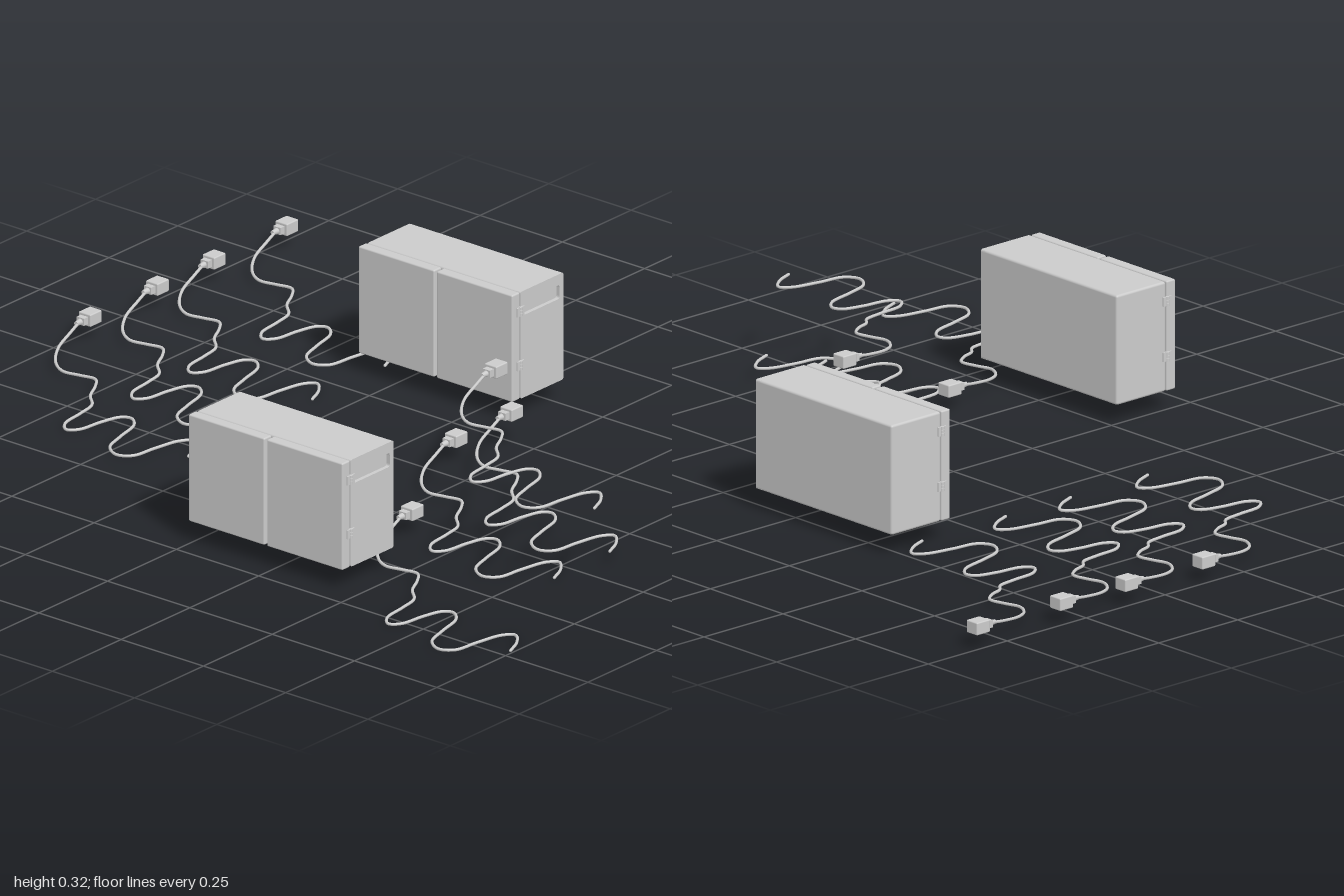
import * as THREE from 'three';
import { RoundedBoxGeometry } from 'three/addons/geometries/RoundedBoxGeometry.js';

const grey = new THREE.MeshStandardMaterial({ color: 0xcccccc });

function add(parent, name, geometry, x = 0, y = 0, z = 0) {
  const mesh = new THREE.Mesh(geometry, grey);
  mesh.name = name;
  mesh.position.set(x, y, z);
  parent.add(mesh);
  return mesh;
}

// Cabinet: half width, height, half depth
const W = 0.234, H = 0.27, D = 0.093, DOOR = 0.028;

function roundedRect(path, x0, y0, x1, y1, r) {
  path.moveTo(x0 + r, y0);
  path.lineTo(x1 - r, y0);
  path.quadraticCurveTo(x1, y0, x1, y0 + r);
  path.lineTo(x1, y1 - r);
  path.quadraticCurveTo(x1, y1, x1 - r, y1);
  path.lineTo(x0 + r, y1);
  path.quadraticCurveTo(x0, y1, x0, y1 - r);
  path.lineTo(x0, y0 + r);
  path.quadraticCurveTo(x0, y0, x0 + r, y0);
  return path;
}

function cabinet(name, x, z) {
  const g = new THREE.Group();
  g.name = name;
  g.position.set(x, 0.05, z);

  // Body stops short of the side plate so the plate's slot reads as a recess
  const plate = 0.01, bodyDepth = 2 * D - DOOR - 0.002;
  const bodyZ = -D + bodyDepth / 2;
  add(g, 'body', new RoundedBoxGeometry(2 * W - plate, H, bodyDepth, 2, 0.006), -plate / 2, H / 2, bodyZ);

  // Side plate, drawn in (-z, y) and turned to face +x
  const shape = roundedRect(new THREE.Shape(), -(bodyZ + bodyDepth / 2), 0, D, H, 0.006);
  shape.holes.push(roundedRect(new THREE.Path(), -0.052, 0.208, 0.079, 0.243, 0.007));
  const side = new THREE.ExtrudeGeometry(shape, { depth: plate + 0.006, bevelEnabled: false, curveSegments: 4 });
  side.rotateY(Math.PI / 2);
  add(g, 'sidePlate', side, W - plate - 0.006);

  // Two doors with a narrow gap, each carrying two hinges on its outer edge
  const gap = 0.007, doorW = W - gap / 2;
  for (const s of [-1, 1]) {
    add(g, 'door', new RoundedBoxGeometry(doorW, H, DOOR, 2, 0.004),
      s * (gap / 2 + doorW / 2), H / 2, D - DOOR / 2);
    for (const y of [0.086, 0.222]) {
      add(g, 'hingeLeaf', new THREE.BoxGeometry(0.005, 0.022, 0.026), s * (W + 0.001), y, D - DOOR);
      for (const k of [-1, 0, 1]) {
        add(g, 'hingeKnuckle', new THREE.CylinderGeometry(0.005, 0.005, 0.007, 12),
          s * (W + 0.002), y + k * 0.008, D - DOOR);
      }
    }
  }
  return g;
}

// Cable centre line relative to the plug: x, height, z
const cablePoints = [
  [0, 0.048, 0.04], [0.011, 0.039, 0.086], [0.032, 0.028, 0.155], [0.07, 0.019, 0.209],
  [0.112, 0.016, 0.233], [0.155, 0.015, 0.225], [0.198, 0.015, 0.219], [0.225, 0.014, 0.251],
  [0.246, 0.01, 0.294], [0.278, 0.006, 0.326], [0.289, 0.005, 0.38], [0.299, 0.004, 0.449],
  [0.326, 0.004, 0.476], [0.348, 0.004, 0.455], [0.358, 0.004, 0.39], [0.374, 0.004, 0.337],
  [0.396, 0.004, 0.326], [0.428, 0.004, 0.353], [0.449, 0.004, 0.428], [0.471, 0.004, 0.492],
  [0.513, 0.004, 0.517], [0.545, 0.004, 0.497], [0.556, 0.004, 0.428], [0.572, 0.004, 0.358],
  [0.594, 0.004, 0.337], [0.626, 0.004, 0.369], [0.647, 0.004, 0.417],
].map(p => new THREE.Vector3(...p));
const cableGeometry = new THREE.TubeGeometry(new THREE.CatmullRomCurve3(cablePoints), 160, 0.0037, 8, false);

function powerLead(x, y, z) {
  const g = new THREE.Group();
  g.name = 'powerLead';
  g.position.set(x, y, z);
  add(g, 'cable', cableGeometry);
  add(g, 'cableEnd', new THREE.SphereGeometry(0.0037, 8, 6), 0.647, 0.004, 0.417);
  add(g, 'plug', new RoundedBoxGeometry(0.037, 0.031, 0.042, 2, 0.003), 0, 0.049, 0);
  // Stepped strain relief
  add(g, 'plugNeck', new THREE.BoxGeometry(0.022, 0.018, 0.016), 0, 0.049, 0.028);
  const relief = new THREE.CylinderGeometry(0.0055, 0.008, 0.018, 10);
  relief.rotateX(Math.PI / 2);
  add(g, 'strainRelief', relief, 0, 0.048, 0.043);
  return g;
}

export function createModel() {
  const model = new THREE.Group();
  model.name = 'cabinetsAndLeads';
  model.add(cabinet('rearCabinet', -0.125, -0.433), cabinet('frontCabinet', 0.222, 0.599));

  // Leads on the ground to one side, and a raised cluster on the other
  const leads = [
    [-0.98, 0, -0.823], [-0.98, 0, -0.559], [-0.98, 0, -0.353], [-0.98, 0, -0.109],
    [0.144, 0, -0.094], [0.348, 0, 0.309], [0.193, 0.034, -0.237], [0.244, 0.194, -0.12],
  ];
  for (const p of leads) model.add(powerLead(...p));
  return model;
}
